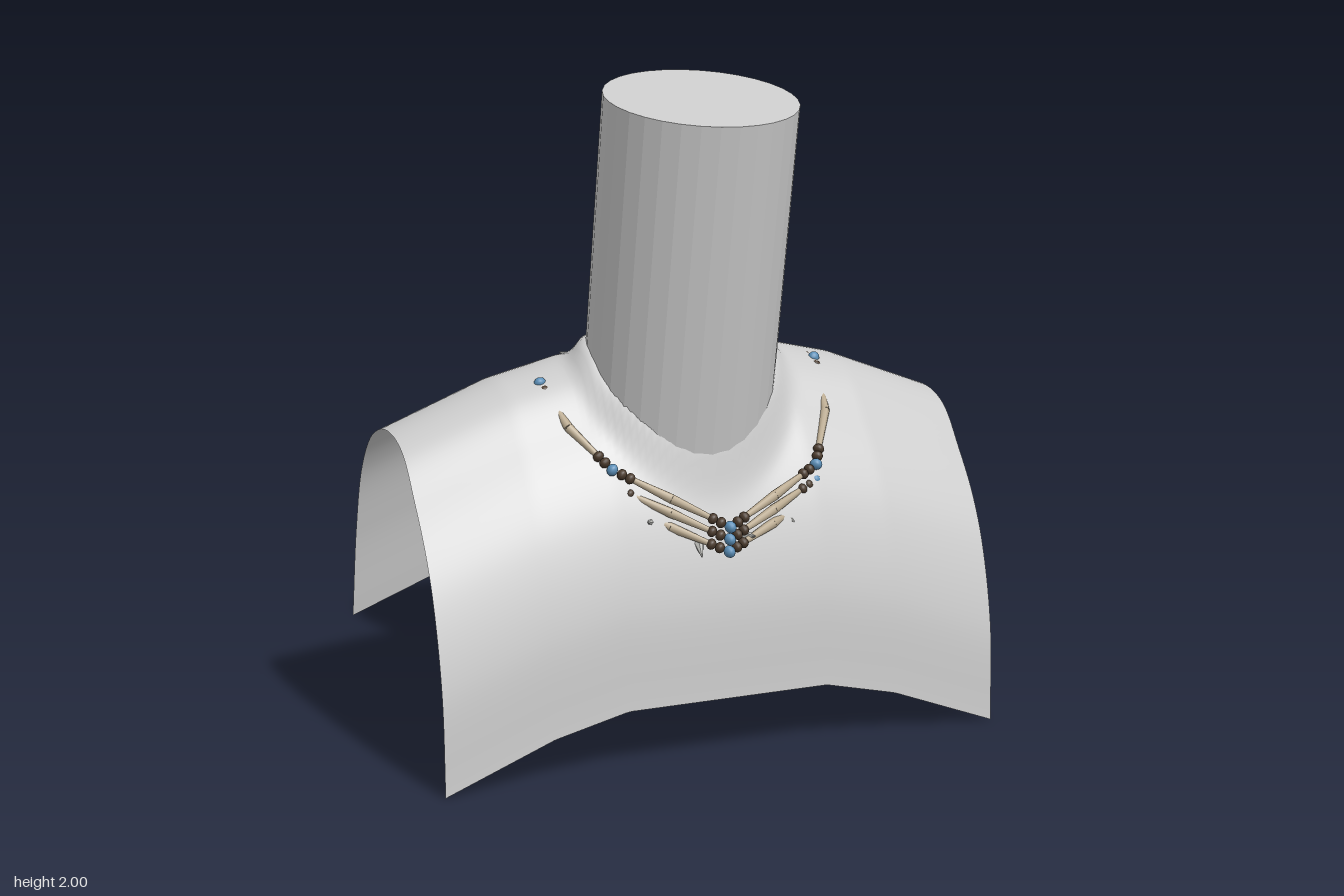
import * as THREE from 'three';

const V = (x, y, z) => new THREE.Vector3(x, y, z);
const UP = V(0, 1, 0);

function createMaterials() {
  const make = (name, color, extra = {}) => {
    const m = new THREE.MeshStandardMaterial({ color, ...extra });
    m.name = name;
    return m;
  };
  return {
    grey: make('stand grey', 0xcccccc, { side: THREE.DoubleSide }),
    neck: make('neck grey', 0xcccccc, { flatShading: true }),
    bone: make('bone tan', 0xb8a88e),
    dark: make('dark brown', 0x4a3a2c),
    blue: make('bead blue', 0x5b8fb8),
    tooth: make('tooth grey', 0xbcbcb8, { flatShading: true }),
  };
}

// Draped shoulder sheet: an arched profile, raised toward the middle and around the neck
function shoulderGeometry() {
  const profile = new THREE.CatmullRomCurve3([
    [0.43, 0.0], [0.415, 0.3], [0.35, 0.55], [0.28, 0.69], [0.19, 0.81], [0.075, 0.935],
    [-0.07, 0.97], [-0.24, 0.92], [-0.36, 0.79], [-0.44, 0.575], [-0.505, 0.28],
  ].map(([z, y]) => V(0, y, z)));
  const lift = (x) => {
    const a = Math.abs(x);
    if (a < 0.32) return 0.185;
    if (a < 0.55) return THREE.MathUtils.mapLinear(a, 0.32, 0.55, 0.185, 0.13);
    return THREE.MathUtils.mapLinear(a, 0.55, 0.885, 0.13, 0);
  };
  const nx = 96, ns = 96;
  const rows = profile.getSpacedPoints(ns);
  const g = new THREE.PlaneGeometry(1, 1, nx, ns);
  const p = g.attributes.position;
  for (let j = 0; j <= ns; j++) {
    for (let i = 0; i <= nx; i++) {
      const x = -0.885 + (1.77 * i) / nx;
      const { y, z } = rows[ns - j];
      const h = y + lift(x);
      const axisZ = 0.0675 + (h - 1.15) * 0.195;
      const d = Math.max(0, Math.hypot(x + 0.007, z - axisZ) - 0.29);
      const collar = 0.055 + 0.06 * THREE.MathUtils.smoothstep(z, 0.1, 0.3);
      p.setXYZ(j * (nx + 1) + i, x, h + collar * Math.exp(-((d / 0.035) ** 2)), z);
    }
  }
  g.computeVertexNormals();
  return g;
}

export function createModel() {
  const root = new THREE.Group();
  root.name = 'necklaceOnStand';
  const mat = createMaterials();
  const add = (parent, name, geometry, material) => {
    const m = new THREE.Mesh(geometry, material);
    m.name = name;
    parent.add(m);
    return m;
  };

  add(root, 'shoulders', shoulderGeometry(), mat.grey);

  // Tilted neck post
  const neck = add(root, 'neck', new THREE.CylinderGeometry(0.288, 0.288, 1.62, 32), mat.neck);
  neck.position.set(-0.007, 1.15, 0.0675);
  neck.rotation.x = 0.1926;

  // Tapered rod between two points
  const rod = (parent, name, a, b, ra, rb, material, sides = 10) => {
    const dir = b.clone().sub(a);
    const m = add(parent, name, new THREE.CylinderGeometry(rb, ra, dir.length(), sides), material);
    m.position.copy(a).lerp(b, 0.5);
    m.quaternion.setFromUnitVectors(UP, dir.normalize());
    return m;
  };

  const beadGeometry = new THREE.SphereGeometry(1, 14, 10);
  const bead = (parent, name, at, dir, r, material) => {
    const m = add(parent, name, beadGeometry, material);
    m.position.copy(at);
    m.quaternion.setFromUnitVectors(UP, dir);
    m.scale.set(r, r * 0.85, r);
  };

  // Bead stations around the neck for strand k; bones span the gaps
  const stations = (k) => [
    V(0, 0.71 - 0.038 * k, 0.43 - 0.003 * k),
    V(0.33, 0.842 - 0.05 * k, 0.315 - 0.008 * k),
    V(0.455 + 0.01 * k, 1.105 - 0.035 * k, 0.03),
    V(0.25, 1.068 - 0.036 * k, -0.325 - 0.013 * k),
    V(-0.25, 1.068 - 0.036 * k, -0.325 - 0.013 * k),
    V(-0.447 - 0.01 * k, 1.1 - 0.035 * k, 0.04),
    V(-0.315, 0.88 - 0.05 * k, 0.29 - 0.008 * k),
  ];
  for (let k = 0; k < 3; k++) {
    const strand = new THREE.Group();
    strand.name = 'strand' + (k + 1);
    root.add(strand);
    const pts = stations(k);
    pts.forEach((a, i) => {
      const b = pts[(i + 1) % pts.length];
      const bulge = i === 0 || i === 6 ? 0.003 : 0.03;
      const mid = a.clone().lerp(b, 0.5);
      mid.add(V(mid.x, 0, mid.z).normalize().multiplyScalar(bulge));
      const fromA = mid.clone().sub(a).normalize();
      const fromB = mid.clone().sub(b).normalize();

      bead(strand, 'blueBead', a, fromA, 0.019, mat.blue);
      for (const t of [0.031, 0.058]) {
        bead(strand, 'darkBead', a.clone().addScaledVector(fromA, t), fromA, 0.017, mat.dark);
        bead(strand, 'darkBead', b.clone().addScaledVector(fromB, t), fromB, 0.017, mat.dark);
      }
      rod(strand, 'bone', a.clone().addScaledVector(fromA, 0.068), mid, 0.009, 0.015, mat.bone);
      rod(strand, 'bone', mid, b.clone().addScaledVector(fromB, 0.068), 0.015, 0.009, mat.bone);
    });
  }

  // Inner cord with hanging teeth
  const half = [[0.17, 0.7, 0.34], [0.32, 0.84, 0.23], [0.425, 1.06, 0.05], [0.36, 1.1, -0.18], [0.2, 1.105, -0.265]];
  const cord = new THREE.CatmullRomCurve3([
    V(0, 0.65, 0.37), ...half.map((q) => V(...q)), V(0, 1.095, -0.29),
    ...half.slice().reverse().map(([x, y, z]) => V(-x, y, z)),
  ], true);
  add(root, 'cord', new THREE.TubeGeometry(cord, 96, 0.004, 6, true), mat.dark);
  const teeth = new THREE.Group();
  teeth.name = 'teeth';
  root.add(teeth);
  const count = 18;
  for (let i = 0; i < count; i++) {
    const a = cord.getPointAt((i + 0.5) / count);
    const out = V(a.x, 0, a.z).normalize();
    const tip = a.clone().addScaledVector(out, 0.055).add(V(0, i % 2 ? -0.035 : 0.01, 0));
    rod(teeth, 'tooth', a, tip, 0.018, 0.002, mat.tooth, 6);
  }
  return root;
}
